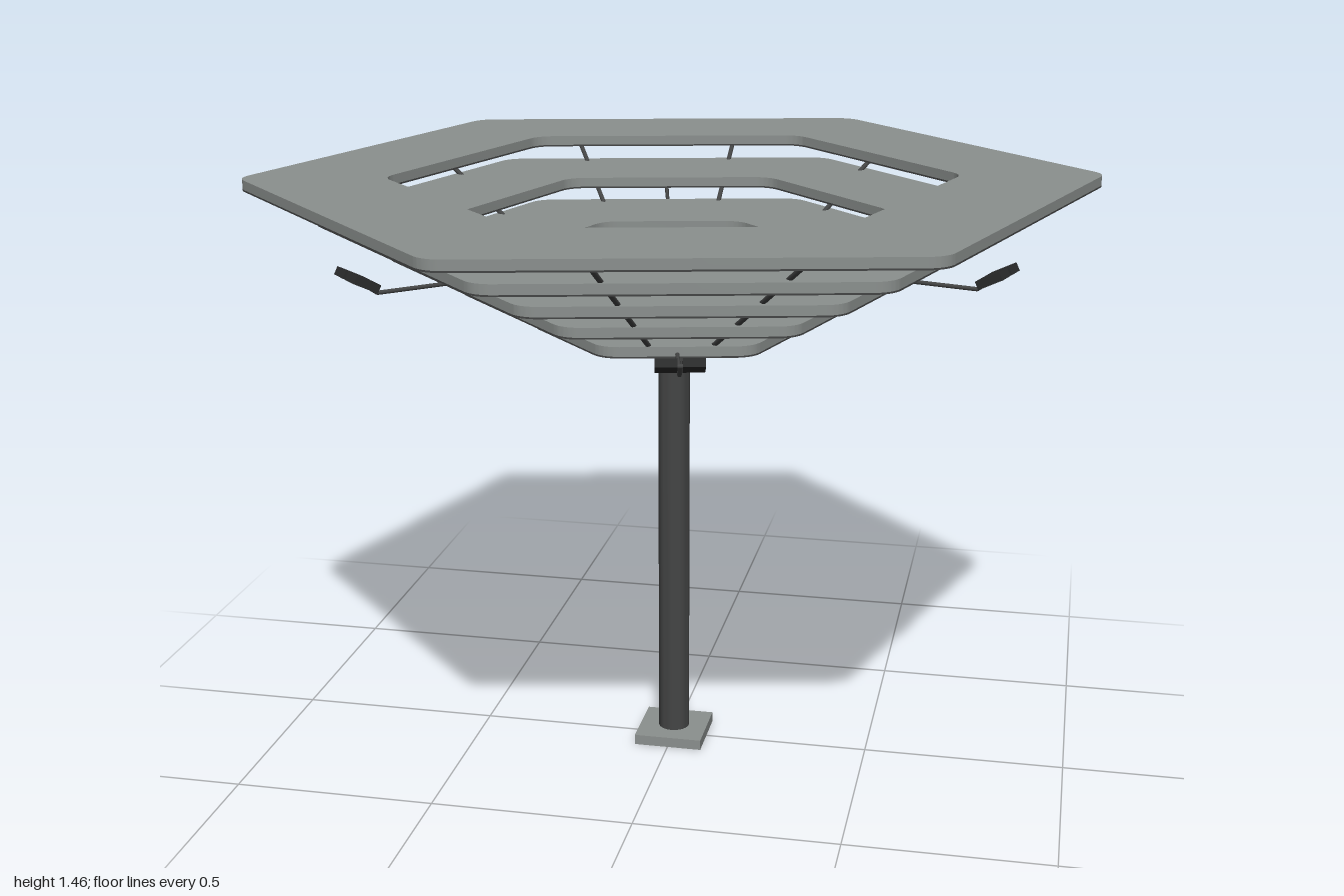
import * as THREE from 'three';
import { toCreasedNormals } from 'three/addons/utils/BufferGeometryUtils.js';

const mat = (name, color) => {
  const m = new THREE.MeshStandardMaterial({ color });
  m.name = name;
  return m;
};

const rad = THREE.MathUtils.degToRad;
const TURN = 13; // rotation of the hexagon corners, in degrees
const THICK = 0.027;
const LINING = 0.004;

// Hexagon with rounded corners; radius is measured to the sharp corner.
function hexagon(radius, PathType = THREE.Shape) {
  const path = new PathType();
  const r = 0.07;
  const c = radius - (r * 2) / Math.sqrt(3);
  for (let i = 0; i < 6; i++) {
    const a = rad(TURN + i * 60);
    path.absarc(c * Math.cos(a), c * Math.sin(a), r, a - Math.PI / 6, a + Math.PI / 6, false);
  }
  path.closePath();
  return path;
}

// Flat plate lying in the ground plane, thickness going up.
function plate(shape, depth, y) {
  const g = new THREE.ExtrudeGeometry(shape, { depth, bevelEnabled: false, curveSegments: 6 });
  g.rotateX(-Math.PI / 2);
  g.translate(0, y, 0);
  return toCreasedNormals(g, rad(35));
}

function lathe(points, segments = 24) {
  const g = new THREE.LatheGeometry(points.map(([x, y]) => new THREE.Vector2(x, y)), segments);
  return toCreasedNormals(g, rad(35));
}

// Round bar between two points.
function bar(a, b, radius) {
  const from = new THREE.Vector3(...a);
  const dir = new THREE.Vector3(...b).sub(from);
  const g = new THREE.CylinderGeometry(radius, radius, dir.length(), 8);
  g.applyQuaternion(new THREE.Quaternion().setFromUnitVectors(
    new THREE.Vector3(0, 1, 0), dir.clone().normalize()));
  const mid = from.addScaledVector(dir, 0.5);
  return g.translate(mid.x, mid.y, mid.z);
}

export function createModel() {
  const model = new THREE.Group();
  model.name = 'steppedCanopy';
  const panelGrey = mat('panelGrey', 0x8b908e);
  const frameDark = mat('frameDark', 0x444545);
  const drainGrey = mat('drainGrey', 0x606362);
  const lampBlack = mat('lampBlack', 0x2a2b2b);
  const add = (name, geometry, material, parent = model) => {
    const mesh = new THREE.Mesh(geometry, material);
    mesh.name = name;
    parent.add(mesh);
    return mesh;
  };

  // Square base plate with the pole socket
  const base = new THREE.Shape([[-1, -1], [1, -1], [1, 1], [-1, 1]].map(
    ([x, y]) => new THREE.Vector2(x * 0.086, y * 0.086)));
  base.holes.push(new THREE.Path().absarc(0, 0, 0.038, 0, Math.PI * 2, true));
  add('basePlate', plate(base, 0.026, 0), panelGrey);

  // Hollow pole with a flared collar under the lowest tier
  add('pole', lathe([[0.025, 1.07], [0.025, 0], [0.039, 0], [0.039, 1.07]]), frameDark);
  add('collar', lathe([[0.039, 1.04], [0.083, 1.065], [0.083, 1.1]]), frameDark);

  // Five stepped hexagonal tiers, each with a dark lining below
  const cornerRadius = (i) => 0.175 + 0.172 * i;
  const tierY = (i) => 1.097 + 0.085 * i;
  for (let i = 0; i < 5; i++) {
    const shape = hexagon(cornerRadius(i + 1));
    shape.holes.push(i === 0
      ? new THREE.Path().absarc(0, 0, 0.052, 0, Math.PI * 2, true)
      : hexagon(cornerRadius(i - 1), THREE.Path));
    add('tier' + (i + 1), plate(shape, THICK - LINING, tierY(i) + LINING), panelGrey);
    add('tierLining' + (i + 1), plate(shape, LINING, tierY(i)), frameDark);
  }

  // Drain funnel in the middle of the lowest tier
  add('drainFunnel', lathe([[0.025, 1.095], [0.053, 1.12]], 8), drainGrey).material.side = THREE.DoubleSide;
  const drain = new THREE.CircleGeometry(0.027, 16).rotateX(-Math.PI / 2).translate(0, 1.096, 0);
  add('drainOpening', drain, lampBlack);

  // Twelve struts carrying the tiers
  const struts = new THREE.Group();
  struts.name = 'struts';
  model.add(struts);
  for (let i = 0; i < 12; i++) {
    add('strut', bar([0.27, 1.11, 0], [0.86, 1.44, 0], 0.006), frameDark, struts).rotation.y = rad(i * 30);
  }

  // Twin lamps on bent arms: three on the first tier, three on the third
  for (const [tier, start] of [[0, 43], [2, -17]]) {
    for (let k = 0; k < 3; k++) {
      const lamp = new THREE.Group();
      lamp.name = 'twinLamp';
      lamp.rotation.y = rad(start + k * 120);
      model.add(lamp);
      const edge = cornerRadius(tier + 1) * Math.cos(Math.PI / 6);
      const y = tierY(tier) + 0.009;
      const x = edge + 0.22;
      add('arm', bar([edge - 0.03, y, 0], [x - 0.045, y, 0], 0.005), frameDark, lamp);
      add('armTip', bar([x - 0.046, y, 0], [x, y + 0.033, 0], 0.005), frameDark, lamp);
      add('crossBar', bar([x, y + 0.033, -0.035], [x, y + 0.033, 0.035], 0.005), frameDark, lamp);
      for (const side of [-1, 1]) {
        const head = add('lampHead', new THREE.BoxGeometry(0.062, 0.02, 0.05), lampBlack, lamp);
        head.position.set(x, y + 0.035, side * 0.031);
        head.rotation.z = rad(27);
      }
    }
  }
  return model;
}
